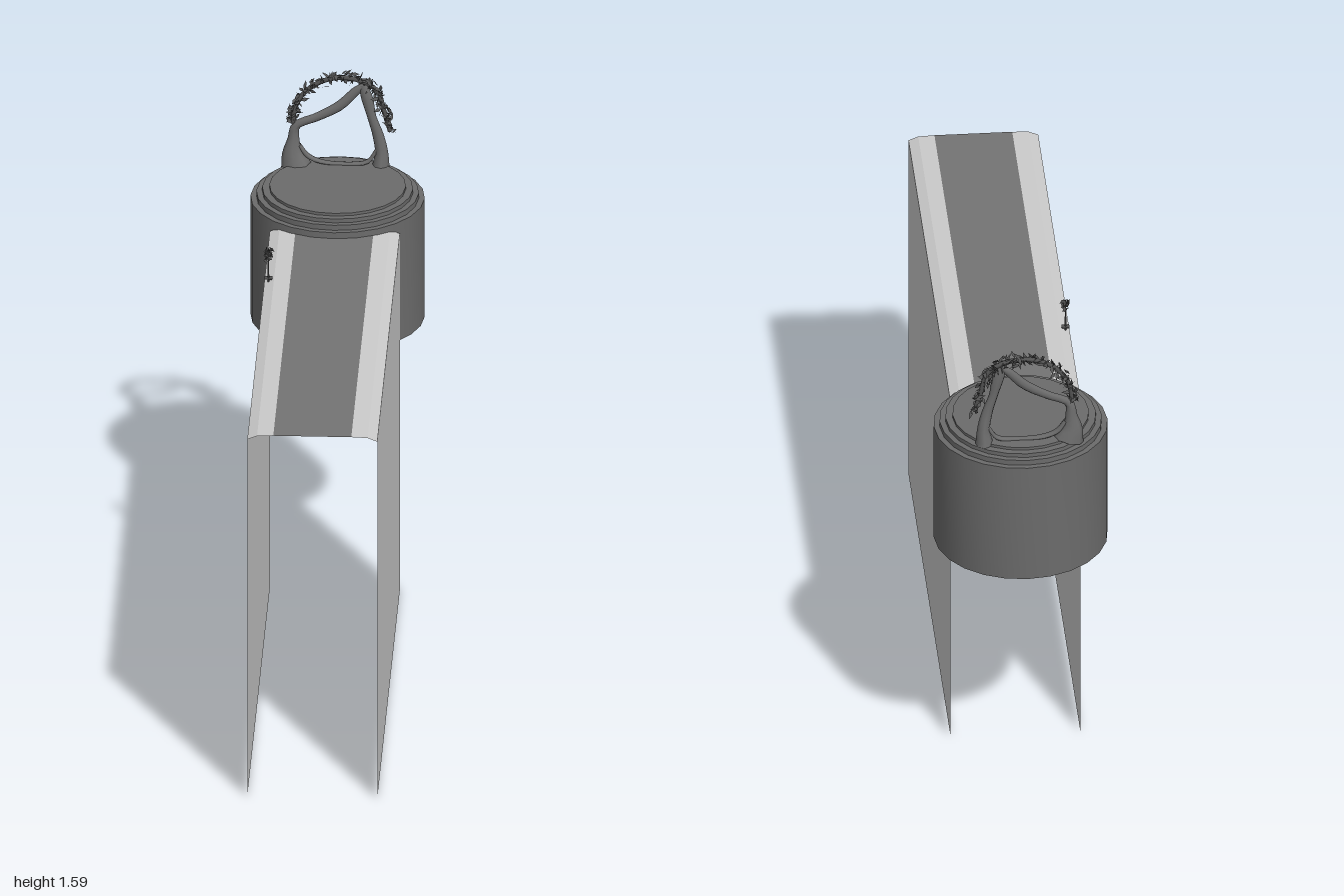
import * as THREE from 'three';
import { mergeGeometries, toCreasedNormals } from 'three/addons/utils/BufferGeometryUtils.js';

const paleStone = new THREE.MeshStandardMaterial({ color: 0xcbcbcb, side: THREE.DoubleSide });
const pathGrey = new THREE.MeshStandardMaterial({ color: 0x747474, side: THREE.DoubleSide });
const darkStone = new THREE.MeshStandardMaterial({ color: 0x6b6b6b, side: THREE.DoubleSide });
const leafGrey = new THREE.MeshStandardMaterial({ color: 0x545454, side: THREE.DoubleSide });

let seed = 7;
const rand = () => (seed = (seed * 16807) % 2147483647) / 2147483647;
const spread = (r) => (rand() * 2 - 1) * r;

function add(parent, name, geometry, material) {
  const mesh = new THREE.Mesh(geometry, material);
  mesh.name = name;
  parent.add(mesh);
  return mesh;
}

// Flat sheet following an x/y profile, drawn out along z
function sheet(profile, z0, z1) {
  const pos = [];
  for (let i = 0; i < profile.length - 1; i++) {
    const [ax, ay] = profile[i], [bx, by] = profile[i + 1];
    pos.push(ax, ay, z1, bx, by, z1, bx, by, z0, ax, ay, z1, bx, by, z0, ax, ay, z0);
  }
  const g = new THREE.BufferGeometry();
  g.setAttribute('position', new THREE.Float32BufferAttribute(pos, 3));
  g.computeVertexNormals();
  return g;
}

// Tapering oval strand; each row is x, y, z, half width, half depth
function strand(rows, steps = 20, sides = 8) {
  const path = new THREE.CatmullRomCurve3(rows.map((r) => new THREE.Vector3(r[0], r[1], r[2])));
  const size = new THREE.CatmullRomCurve3(rows.map((r) => new THREE.Vector3(r[3], r[4], 0)));
  const pos = [], index = [];
  for (let i = 0; i <= steps; i++) {
    const p = path.getPoint(i / steps), s = size.getPoint(i / steps), t = path.getTangent(i / steps);
    const n = new THREE.Vector2(t.y, -t.x).normalize();
    for (let j = 0; j < sides; j++) {
      const a = (j / sides) * Math.PI * 2, w = Math.cos(a) * s.x;
      pos.push(p.x + n.x * w, p.y + n.y * w, p.z + Math.sin(a) * s.y);
      if (i < steps) {
        const k = i * sides + j, m = i * sides + ((j + 1) % sides);
        index.push(k, k + sides, m, m, k + sides, m + sides);
      }
    }
  }
  const g = new THREE.BufferGeometry();
  g.setAttribute('position', new THREE.Float32BufferAttribute(pos, 3));
  g.setIndex(index);
  g.computeVertexNormals();
  return g;
}

// Diamond leaf turned at random about a point
function leaf(p, length, width) {
  const g = new THREE.CircleGeometry(1, 4);
  g.scale(length / 2, width / 2, 1);
  g.rotateX(rand() * 6.3);
  g.rotateY(spread(1.1));
  g.rotateZ(rand() * 6.3);
  return g.translate(p.x, p.y, p.z);
}

export function createModel() {
  const model = new THREE.Group();

  // Open-ended walkway: two walls with chamfered kerbs and a dark path between
  const walkway = new THREE.Group();
  walkway.name = 'walkway';
  model.add(walkway);
  for (const s of [-1, 1]) {
    const side = s < 0 ? 'right' : 'left';
    const ordered = (p) => (s < 0 ? p : p.map(([x, y]) => [-x, y]).reverse());
    add(walkway, side + 'Wall', sheet(ordered([[-0.2, 0], [-0.2, 1.206]]), -0.54, 1), paleStone);
    add(walkway, side + 'Kerb', sheet(ordered([[-0.2, 1.206], [-0.17, 1.218], [-0.12, 1.22]]), -0.54, 1), paleStone);
  }
  add(walkway, 'path', sheet([[-0.12, 1.22], [0.12, 1.22]], -0.54, 1), pathGrey);

  // Round platform with stepped rim, open underneath
  const profile = [[0.268, 0.84], [0.268, 1.24], [0.25, 1.24], [0.25, 1.257], [0.232, 1.257],
    [0.232, 1.27], [0.21, 1.27], [0.21, 1.279], [0, 1.279]].map(([x, y]) => new THREE.Vector2(x, y));
  const platform = add(model, 'platform', toCreasedNormals(new THREE.LatheGeometry(profile, 24), 0.6), darkStone);
  platform.position.z = -0.73;

  // Twisted branch arch
  const arch = new THREE.Group();
  arch.name = 'arch';
  model.add(arch);
  const strands = {
    rightBranch: [[-0.135, 1.272, -0.885, 0.048, 0.036], [-0.145, 1.31, -0.888, 0.034, 0.026],
      [-0.143, 1.36, -0.89, 0.018, 0.016], [-0.135, 1.405, -0.89, 0.014, 0.012],
      [-0.07, 1.435, -0.89, 0.014, 0.01], [0, 1.475, -0.89, 0.016, 0.01],
      [0.05, 1.525, -0.892, 0.014, 0.01], [0.075, 1.545, -0.892, 0.008, 0.008]],
    leftBranch: [[0.126, 1.272, -0.89, 0.027, 0.034], [0.128, 1.32, -0.89, 0.02, 0.022],
      [0.117, 1.38, -0.888, 0.017, 0.014], [0.098, 1.44, -0.888, 0.014, 0.012],
      [0.084, 1.5, -0.89, 0.018, 0.012], [0.07, 1.545, -0.892, 0.013, 0.009]],
    lowRoot: [[-0.125, 1.34, -0.89, 0.006, 0.01], [-0.1, 1.305, -0.89, 0.007, 0.012],
      [-0.06, 1.286, -0.888, 0.006, 0.012], [0.02, 1.28, -0.886, 0.005, 0.01],
      [0.085, 1.288, -0.888, 0.006, 0.012], [0.115, 1.33, -0.89, 0.006, 0.01]],
  };
  for (const [name, rows] of Object.entries(strands)) add(arch, name, strand(rows), darkStone);

  // Leafy garland over the arch
  const curve = new THREE.CatmullRomCurve3([[-0.145, 1.41], [-0.135, 1.475], [-0.09, 1.535], [-0.015, 1.567],
    [0.06, 1.56], [0.115, 1.525], [0.135, 1.46], [0.155, 1.39]].map(([x, y]) => new THREE.Vector3(x, y, -0.893)));
  add(arch, 'garlandVine', new THREE.TubeGeometry(curve, 32, 0.008, 5), leafGrey);
  const leaves = [];
  for (let i = 0; i < 170; i++) {
    const p = curve.getPoint(i / 169);
    p.add(new THREE.Vector3(spread(0.015), spread(0.015), spread(0.016)));
    leaves.push(leaf(p, 0.024 + rand() * 0.014, 0.012));
  }
  add(arch, 'garlandLeaves', mergeGeometries(leaves), leafGrey);

  // Small flower on the kerb
  const flower = new THREE.Group();
  flower.name = 'flower';
  flower.position.set(-0.187, 1.212, -0.155);
  model.add(flower);
  add(flower, 'stem', new THREE.CylinderGeometry(0.002, 0.003, 0.085, 5), leafGrey).position.y = 0.042;
  add(flower, 'baseLeaf', new THREE.BoxGeometry(0.024, 0.003, 0.02), leafGrey).position.y = 0.012;
  const petals = [];
  for (let i = 0; i < 34; i++) {
    petals.push(leaf(new THREE.Vector3(spread(0.01), 0.09 + spread(0.016), spread(0.01)), 0.022, 0.011));
  }
  add(flower, 'petals', mergeGeometries(petals), leafGrey);

  return model;
}
